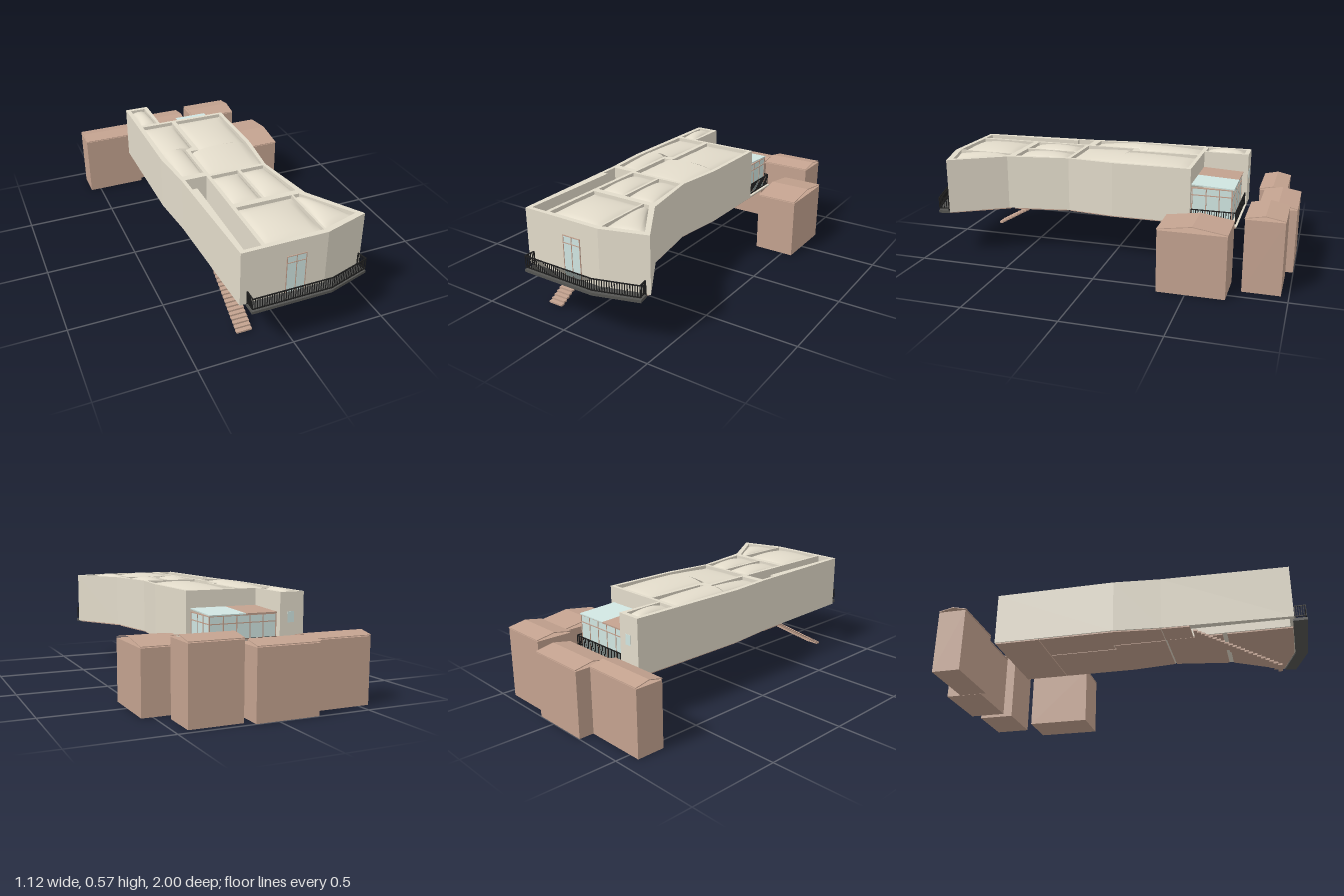
import * as THREE from 'three';

const mat = (name, color) => {
  const m = new THREE.MeshStandardMaterial({ color });
  m.name = name;
  return m;
};

export function createModel() {
  const model = new THREE.Group();
  const plaster = mat('plaster', 0xe2dbca);
  const clay = mat('clay brown', 0xc3a28f);
  const glass = mat('pale glass', 0xd0e5e1);
  const slate = mat('slate grey', 0x555552);
  const iron = mat('black iron', 0x1e1e1e);

  const add = (parent, name, geo, material) => {
    const mesh = new THREE.Mesh(geo, material);
    mesh.name = name;
    parent.add(mesh);
    return mesh;
  };
  const group = (name) => {
    const g = new THREE.Group();
    g.name = name;
    model.add(g);
    return g;
  };
  // Box given by its extents
  const box = (parent, name, material, x0, x1, y0, y1, z0, z1) => {
    const m = add(parent, name, new THREE.BoxGeometry(x1 - x0, y1 - y0, z1 - z0), material);
    m.position.set((x0 + x1) / 2, (y0 + y1) / 2, (z0 + z1) / 2);
    return m;
  };
  // Upright prism over a plan outline of [x, z] points; holes run opposite to the outline
  const toV = (pts) => pts.map(([x, z]) => new THREE.Vector2(x, -z));
  const slab = (parent, name, material, pts, y0, y1, holes = []) => {
    const shape = new THREE.Shape(toV(pts));
    holes.forEach((h) => shape.holes.push(new THREE.Path(toV(h).reverse())));
    const geo = new THREE.ExtrudeGeometry(shape, { depth: y1 - y0, bevelEnabled: false });
    geo.rotateX(-Math.PI / 2).translate(0, y0, 0);
    return add(parent, name, geo, material);
  };

  // Walls: one bent block with a hole for every room
  const outline = [[-0.31, -0.7], [-0.175, -0.7], [-0.175, -0.45], [0.222, -0.45], [0.222, -0.02],
    [0.192, 0.24], [0.25, 0.58], [0.424, 0.86], [0.185, 0.932], [-0.262, 0.932], [-0.287, 0.24], [-0.312, -0.02]];
  const rooms = [
    [[-0.285, -0.675], [-0.2, -0.675], [-0.19, -0.455], [-0.285, -0.455]],
    [[-0.285, -0.43], [-0.105, -0.43], [-0.105, -0.09], [-0.15, -0.07], [-0.15, 0.2], [-0.268, 0.2], [-0.285, -0.02]],
    [[-0.08, -0.43], [0.2, -0.43], [0.2, -0.04], [0.175, 0.23], [-0.13, 0.23], [-0.13, -0.045], [-0.08, -0.045]],
    [[-0.13, 0.25], [0.025, 0.25], [0.025, 0.545], [-0.13, 0.545]],
    [[0.04, 0.25], [0.175, 0.25], [0.215, 0.545], [0.04, 0.545]],
    [[-0.13, 0.58], [0.172, 0.58], [0.172, 0.905], [-0.13, 0.905]],
    [[0.183, 0.58], [0.215, 0.58], [0.382, 0.84], [0.183, 0.9]],
    [[-0.267, 0.24], [-0.15, 0.24], [-0.15, 0.91], [-0.238, 0.91], [-0.238, 0.34], [-0.265, 0.34]],
  ];
  const house = group('long house');
  slab(house, 'walls', plaster, outline, 0.26, 0.558, rooms);

  // Bulging roof panels: corners back left, back right, front right, front left;
  // v0..v1 is the share of the bulge covered along z
  const pillow = (c, v0 = 0, v1 = 1) => {
    const geo = new THREE.PlaneGeometry(1, 1, 14, 14);
    const p = geo.attributes.position;
    for (let i = 0; i < p.count; i++) {
      const u = p.getX(i) + 0.5, v = 0.5 - p.getY(i);
      const at = (k) => (c[0][k] * (1 - u) + c[1][k] * u) * (1 - v) + (c[3][k] * (1 - u) + c[2][k] * u) * v;
      const w = v0 + (v1 - v0) * v;
      const bulge = Math.sqrt(Math.max(0, Math.sin(Math.PI * u) * Math.sin(Math.PI * w)));
      p.setXYZ(i, at(0), 0.538 + 0.031 * bulge, at(1));
    }
    geo.computeVertexNormals();
    add(house, 'roof panel', geo, plaster);
  };
  [0, 3, 4, 5, 6].forEach((i) => pillow(rooms[i]));
  pillow([[-0.285, -0.43], [-0.105, -0.43], [-0.105, -0.08], [-0.285, -0.08]], 0, 0.55);
  pillow([[-0.285, -0.08], [-0.15, -0.08], [-0.15, 0.2], [-0.268, 0.2]], 0.55, 1);
  pillow([[-0.08, -0.43], [0.2, -0.43], [0.2, -0.042], [-0.08, -0.042]], 0, 0.58);
  pillow([[-0.13, -0.042], [0.2, -0.042], [0.175, 0.23], [-0.13, 0.23]], 0.58, 1);

  // Floors, leaving the stairwell open
  const floors = [
    [[-0.305, -0.695], [0.215, -0.695], [0.215, -0.445], [-0.305, -0.445]],
    [[-0.305, -0.44], [-0.095, -0.44], [-0.095, -0.06], [-0.143, -0.06], [-0.143, 0.235], [-0.28, 0.235], [-0.305, -0.02]],
    [[-0.089, -0.44], [0.215, -0.44], [0.215, -0.02], [0.187, 0.235], [-0.137, 0.235], [-0.137, -0.054], [-0.089, -0.054]],
    [[-0.283, 0.24], [-0.145, 0.24], [-0.145, 0.39], [-0.278, 0.39]],
    [[-0.143, 0.245], [0.187, 0.245], [0.24, 0.55], [-0.143, 0.55]],
    [[-0.143, 0.575], [0.243, 0.575], [0.41, 0.858], [0.183, 0.925], [-0.143, 0.925]],
  ];
  floors.forEach((f) => slab(house, 'floor', clay, f, 0.253, 0.262));

  // Double glass door in the front wall
  const door = group('front door');
  box(door, 'door glass', glass, -0.028, 0.075, 0.265, 0.475, 0.931, 0.934);
  [-0.027, 0.0235, 0.074].forEach((x) => box(door, 'door frame', clay, x - 0.002, x + 0.002, 0.265, 0.476, 0.931, 0.936));
  [0.437, 0.474].forEach((y) => box(door, 'door rail', clay, -0.028, 0.075, y - 0.002, y + 0.002, 0.931, 0.936));

  // Small window in the rear wing
  box(house, 'rear window', glass, -0.254, -0.218, 0.405, 0.46, -0.702, -0.699);

  // Railing along a path of [x, z] points, with posts at its two ends
  const railing = (name, pts, step) => {
    const g = group(name);
    for (let i = 0; i < pts.length - 1; i++) {
      const [ax, az] = pts[i], [bx, bz] = pts[i + 1];
      const len = Math.hypot(bx - ax, bz - az);
      [0.277, 0.336].forEach((y) => {
        const rail = add(g, 'rail', new THREE.BoxGeometry(len, 0.005, 0.005), iron);
        rail.position.set((ax + bx) / 2, y, (az + bz) / 2);
        rail.rotation.y = -Math.atan2(bz - az, bx - ax);
      });
      const n = Math.max(1, Math.round(len / step));
      for (let k = 0; k <= n; k++) {
        const x = ax + (bx - ax) * k / n, z = az + (bz - az) * k / n;
        const end = (i === 0 && k === 0) || (i === pts.length - 2 && k === n);
        const r = end ? 0.003 : 0.0017;
        box(g, 'baluster', iron, x - r, x + r, end ? 0.262 : 0.277, 0.336, z - r, z + r);
      }
    }
  };

  // Front balcony
  slab(model, 'balcony', slate, [[-0.23, 0.925], [-0.23, 1], [0.19, 1], [0.42, 0.93],
    [0.407, 0.866], [0.185, 0.93]], 0.25, 0.265);
  railing('balcony railing', [[-0.226, 0.937], [-0.226, 0.996], [0.19, 0.996], [0.415, 0.928], [0.404, 0.875]], 0.0122);

  // Sunroom on the rear terrace
  const sun = group('sunroom');
  box(sun, 'terrace', plaster, -0.175, 0.22, 0.26, 0.267, -0.7, -0.45);
  box(sun, 'rear glass', glass, -0.17, 0.195, 0.267, 0.45, -0.668, -0.664);
  box(sun, 'side glass', glass, 0.191, 0.195, 0.267, 0.45, -0.668, -0.45);
  for (let i = 0; i <= 5; i++) {
    const x = -0.17 + i * 0.073;
    box(sun, 'rear mullion', clay, x - 0.0025, x + 0.0025, 0.267, 0.452, -0.67, -0.662);
  }
  [-0.6, -0.53, -0.455].forEach((z) => box(sun, 'side mullion', clay, 0.188, 0.198, 0.267, 0.452, z - 0.0025, z + 0.0025));
  [0.412, 0.45].forEach((y) => {
    box(sun, 'rear transom', clay, -0.17, 0.198, y - 0.0025, y + 0.0025, -0.67, -0.662);
    box(sun, 'side transom', clay, 0.188, 0.198, y - 0.0025, y + 0.0025, -0.668, -0.45);
  });
  [[-0.172, 0.002, clay, 'tiled roof'], [0.002, 0.198, glass, 'glass roof']].forEach(([a, b, m, name]) => {
    box(sun, name, m, a, b, 0.458, 0.464, -0.676, -0.45).rotation.x = -0.05;
  });
  railing('terrace railing', [[-0.17, -0.69], [0.212, -0.69], [0.212, -0.455]], 0.0122);

  // Open stair of thin treads
  const stair = group('stair');
  const treads = 22;
  for (let i = 0; i < treads; i++) {
    const y = 0.006 + i * 0.0114, z = 0.838 - i * 0.0202;
    box(stair, 'tread', clay, -0.235, -0.152, y, y + 0.0095, z - 0.0115, z + 0.0115);
  }

  // Neighbouring blocks, each with a thin gable roof open at its ends
  const blocks = [
    [-0.56, -0.22, -0.92, -0.765, 0.346, 0.371],
    [-0.218, 0.117, -1, -0.797, 0.348, 0.375],
    [0.16, 0.436, -0.963, -0.763, 0.383, 0.409],
    [0.33, 0.558, -0.704, -0.35, 0.328, 0.362],
  ];
  blocks.forEach(([x0, x1, z0, z1, wall, peak]) => {
    const g = group('neighbour block');
    box(g, 'block walls', clay, x0, x1, 0, wall, z0 + 0.002, z1 - 0.002);
    const mid = (z0 + z1) / 2, e = wall + 0.004, t = 0.004;
    const profile = new THREE.Shape([[z0, e], [mid, peak - t], [z1, e], [z1, e + t], [mid, peak], [z0, e + t]]
      .map(([z, y]) => new THREE.Vector2(-z, y)));
    const geo = new THREE.ExtrudeGeometry(profile, { depth: x1 - x0, bevelEnabled: false });
    geo.rotateY(Math.PI / 2).translate(x0, 0, 0);
    add(g, 'gable roof', geo, clay);
  });

  return model;
}
